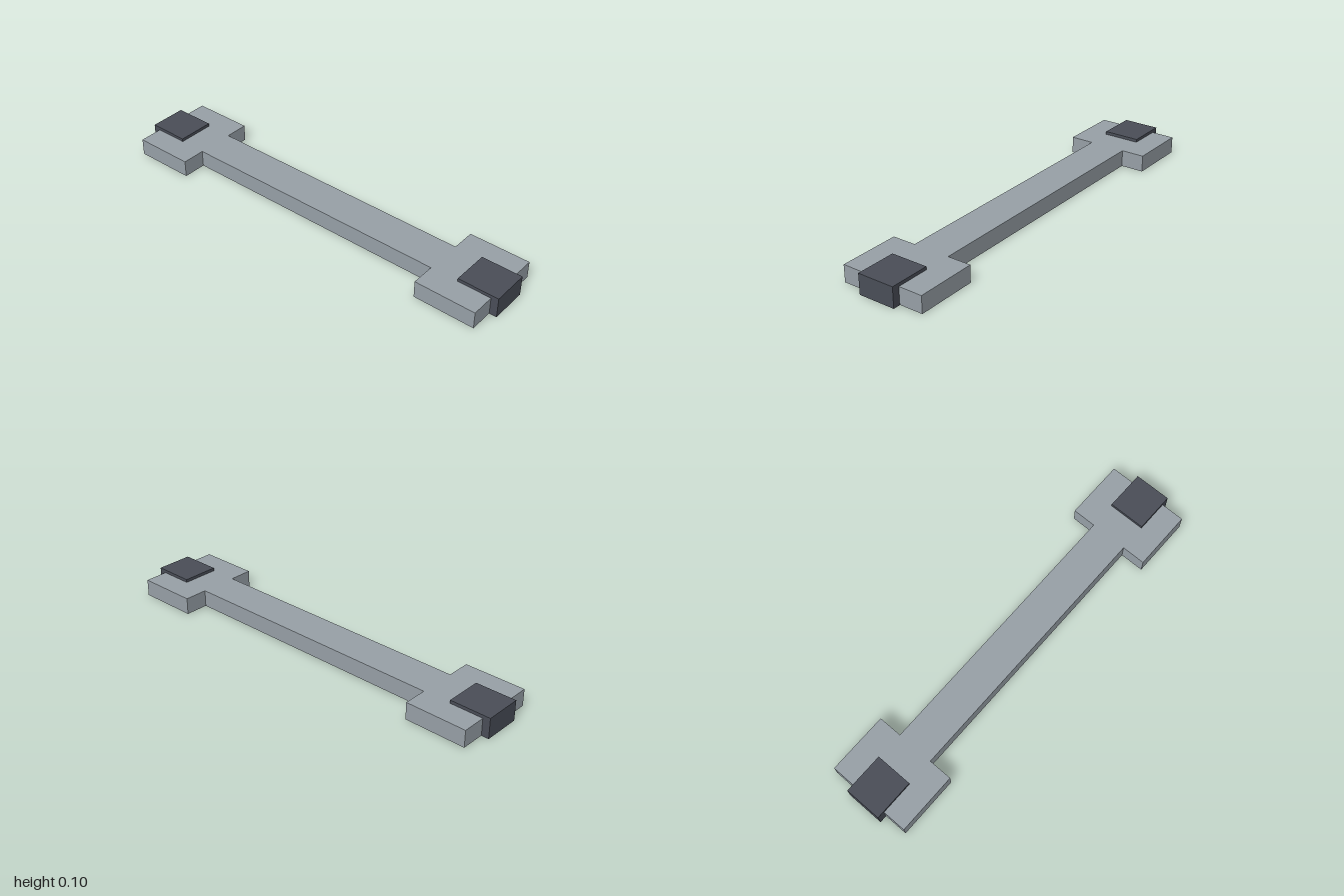
import * as THREE from 'three';

export function createModel() {
  const model = new THREE.Group();
  const grey = new THREE.MeshStandardMaterial({ color: 0x98a1a8 });
  grey.name = 'steel grey';
  const dark = new THREE.MeshStandardMaterial({ color: 0x4a4e58 });
  dark.name = 'dark grey';

  // Bar with wide heads, one outline extruded upward
  const outline = [
    [0.67, 0.09], [0.67, 0.205], [0.965, 0.205],
    [0.965, -0.205], [0.67, -0.205], [0.67, -0.09],
  ];
  const points = [...outline, ...outline.map(([x, z]) => [-x, -z])];
  const shape = new THREE.Shape(points.map(([x, z]) => new THREE.Vector2(x, z)));
  const bodyGeometry = new THREE.ExtrudeGeometry(shape, { depth: 0.082, bevelEnabled: false });
  bodyGeometry.rotateX(-Math.PI / 2);
  const body = new THREE.Mesh(bodyGeometry, grey);
  body.name = 'barBody';
  body.position.y = 0.001; // keeps the underside clear of the pad bottoms
  model.add(body);

  // Dark pads through each end
  for (const side of [-1, 1]) {
    const pad = new THREE.Mesh(new THREE.BoxGeometry(0.197, 0.098, 0.18), dark);
    pad.name = side > 0 ? 'leftEndPad' : 'rightEndPad';
    pad.position.set(side * 0.9015, 0.049, 0);
    model.add(pad);
  }
  return model;
}
